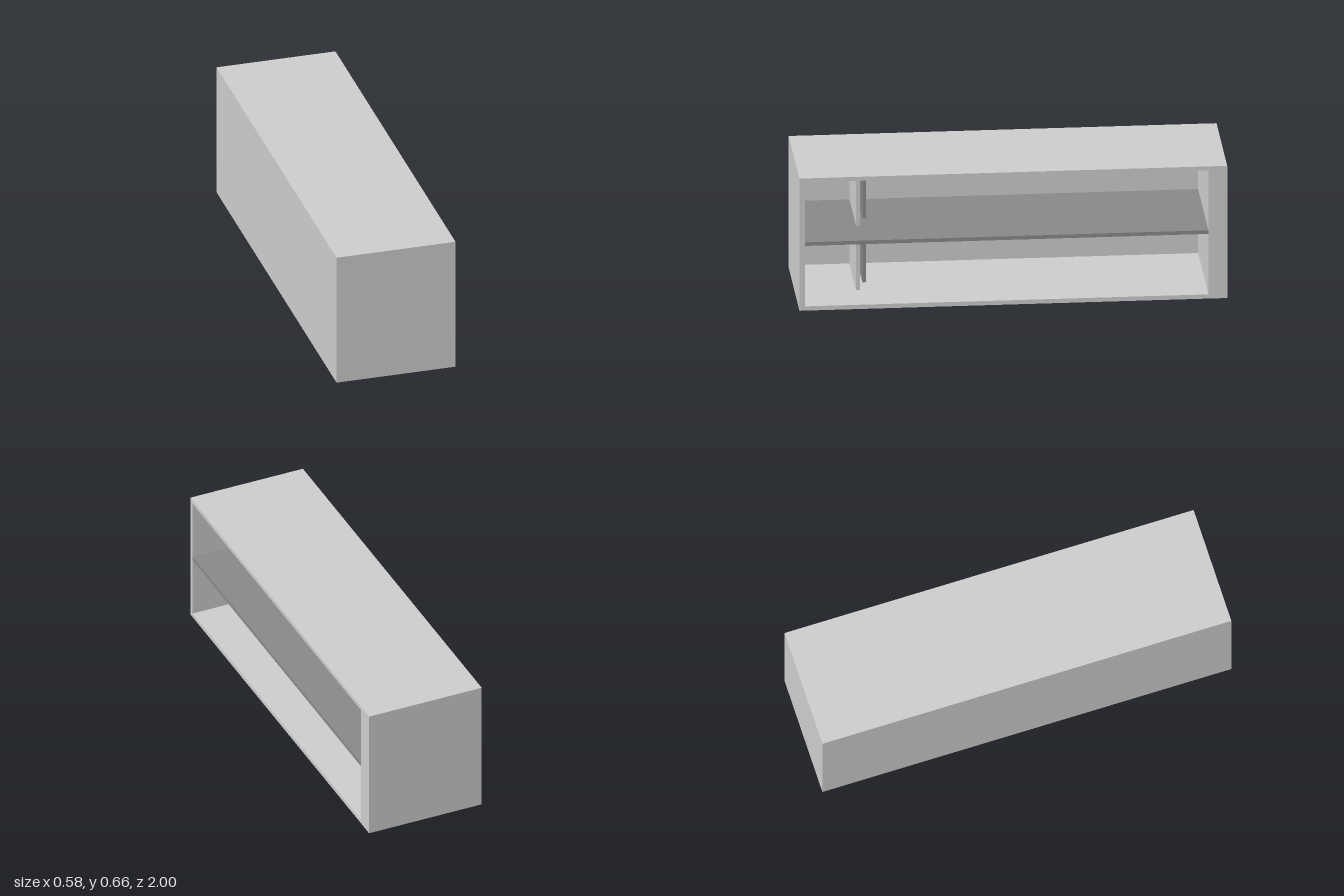
import * as THREE from 'three';

const W = 0.577, H = 0.656, L = 2;      // outer size along x, y, z
const BACK = 0.018;                     // closed side panel thickness
const Y0 = 0.021, Y1 = 0.637;           // opening height range
const Z0 = -0.912, Z1 = 0.973;          // opening length range
const INNER = -W / 2 + BACK;            // inner face of the closed side

const light = new THREE.MeshStandardMaterial({ color: 0xcccccc });
const dark = new THREE.MeshStandardMaterial({ color: 0x888888 });

// Box given by its minimum and maximum on each axis
function panel(name, [x0, x1], [y0, y1], [z0, z1], material = light) {
  const mesh = new THREE.Mesh(new THREE.BoxGeometry(x1 - x0, y1 - y0, z1 - z0), material);
  mesh.position.set((x0 + x1) / 2, (y0 + y1) / 2, (z0 + z1) / 2);
  mesh.name = name;
  return mesh;
}

function rectangle(PathType, z0, y0, z1, y1) {
  return new PathType([[z0, y0], [z1, y0], [z1, y1], [z0, y1]].map(p => new THREE.Vector2(...p)));
}

export function createModel() {
  const group = new THREE.Group();
  group.name = 'shelfCabinet';

  // Surround: rectangular tube open towards +x
  const outline = rectangle(THREE.Shape, -L / 2, 0, L / 2, H);
  outline.holes.push(rectangle(THREE.Path, Z0, Y0, Z1, Y1));
  const frame = new THREE.ExtrudeGeometry(outline, { depth: W - BACK, bevelEnabled: false });
  frame.rotateY(-Math.PI / 2).translate(W / 2, 0, 0);
  const surround = new THREE.Mesh(frame, light);
  surround.name = 'surround';
  group.add(surround);

  // Panel closing the far side
  group.add(panel('closedSide', [-W / 2, INNER], [0, H], [-L / 2, L / 2]));

  // Full-length shelf
  const shelfY = [0.321, 0.339];
  group.add(panel('shelf', [INNER, W / 2], shelfY, [Z0, Z1], dark));

  // Recessed uprights above and below the shelf
  for (const [level, range] of [['lower', [Y0, shelfY[0]]], ['upper', [shelfY[1], Y1]]]) {
    group.add(panel(level + 'Partition', [INNER, 0.09], range, [0.7, 0.718]));
    group.add(panel(level + 'Divider', [INNER, -0.012], range, [0.662, 0.68], dark));
  }
  return group;
}
